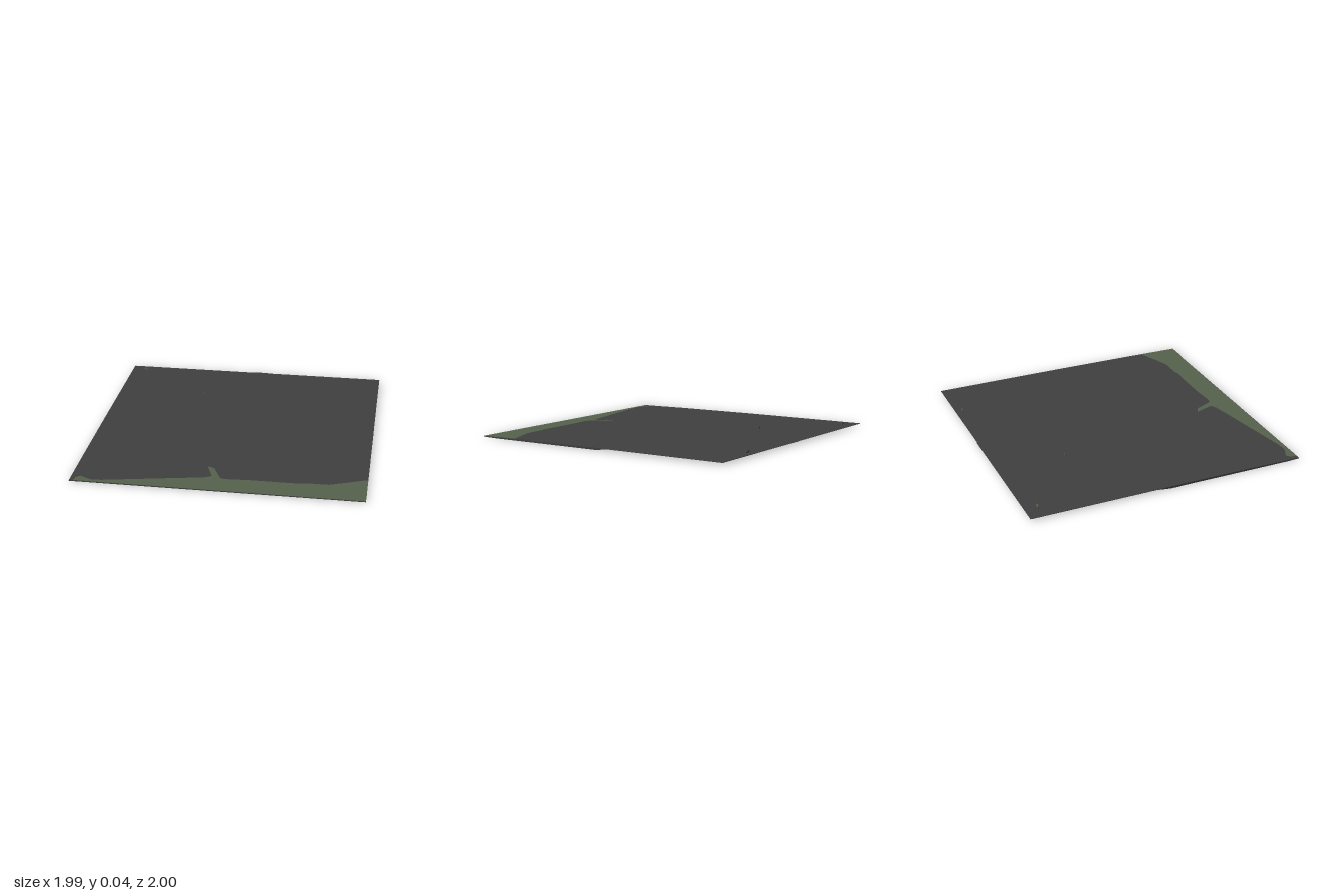
import * as THREE from 'three';

const paint = (name, color) => {
  const m = new THREE.MeshStandardMaterial({ color });
  m.name = name;
  return m;
};

// Height of the ground's upper surface along z
function groundY(z) {
  if (z <= 0) return 0.017;
  if (z <= 0.6) return 0.017 - (z / 0.6) * 0.003;
  return 0.014 - ((z - 0.6) / 0.4) * 0.005;
}

// Flat sheet from an [x, z] outline, raised by a height rule
function sheet(outline, height) {
  const shape = new THREE.Shape(outline.map(([x, z]) => new THREE.Vector2(x, -z)));
  const geo = new THREE.ShapeGeometry(shape).rotateX(-Math.PI / 2);
  const p = geo.attributes.position;
  for (let i = 0; i < p.count; i++) p.setY(i, height(p.getZ(i)));
  geo.computeVertexNormals();
  return geo;
}

export function createModel() {
  const group = new THREE.Group();
  const asphalt = paint('asphalt grey', 0x3f3f3f);
  const grass = paint('dull green', 0x55614c);
  grass.side = THREE.DoubleSide;
  const blockGrey = paint('block grey', 0x525252);
  const tan = paint('tan', 0x75684a);
  const add = (name, geo, mat, x = 0, y = 0, z = 0) => {
    const m = new THREE.Mesh(geo, mat);
    m.name = name;
    m.position.set(x, y, z);
    group.add(m);
  };
  const box = (w, h, d) => new THREE.BoxGeometry(w, h, d);

  // Ground slab: thin at the back, deeper and sloping down at the front
  const top = [-0.995, 0, 0.6, 1].map((z) => [z, groundY(z)]);
  const under = [[1, 0.004], [0.9, 0.001], [0, 0.002], [-0.1, 0.0145], [-0.995, 0.0145]];
  const section = new THREE.Shape([...top, ...under].map(([z, y]) => new THREE.Vector2(-z, y)));
  const slab = new THREE.ExtrudeGeometry(section, { depth: 1.992, bevelEnabled: false });
  slab.rotateY(Math.PI / 2).translate(-0.996, 0, 0);
  add('groundSlab', slab, asphalt);
  add('backNotch', box(0.12, 0.003, 0.006), asphalt, 0.04, 0.0165, -0.997);

  // Grass verge along the front, with a narrow spur
  const verge = [
    [-0.97, 0.995], [-0.96, 0.95], [-0.935, 0.93], [-0.85, 0.97], [-0.78, 0.965],
    [-0.1, 0.83], [-0.055, 0.805], [-0.105, 0.67], [-0.055, 0.695], [0.005, 0.825],
    [0.04, 0.835], [0.2, 0.825], [0.54, 0.825], [0.59, 0.813], [0.74, 0.812],
    [0.996, 0.71], [0.996, 0.999],
  ];
  add('grassVerge', sheet(verge, (z) => groundY(z) + 0.0008), grass);

  // Grass showing through underneath the front right corner
  const patch = [[-0.07, 0.79], [-0.13, 0.66], [-0.23, 0.6], [-0.36, 0.57], [-0.49, 0.56], [-0.97, 0.97]];
  add('grassUnderside', sheet(patch, () => 0), grass);

  // Small upright panels standing on the ground: x, z, width, top
  for (const [x, z, w, h] of [[-0.88, -0.905, 0.036, 0.032], [-0.33, -0.494, 0.02, 0.037], [0.607, -0.945, 0.04, 0.034]]) {
    add('block', box(w, h - 0.015, 0.007), blockGrey, x, (h + 0.015) / 2, z);
  }
  add('blockTrim', box(0.034, 0.001, 0.007), tan, -0.88, 0.0325, -0.905);
  return group;
}
